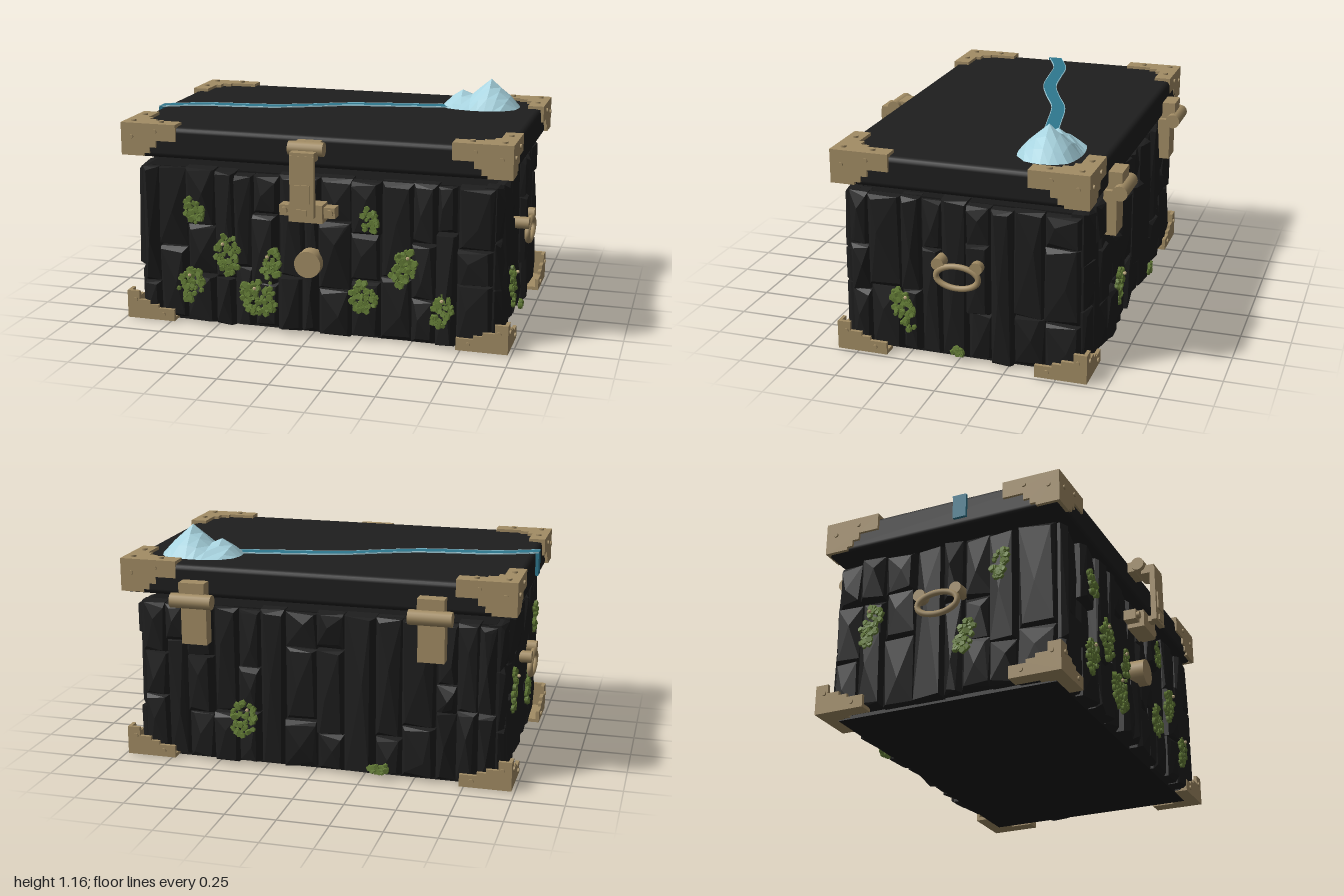
import * as THREE from 'three';
import { mergeGeometries } from 'three/addons/utils/BufferGeometryUtils.js';
import { RoundedBoxGeometry } from 'three/addons/geometries/RoundedBoxGeometry.js';
import { ConvexGeometry } from 'three/addons/geometries/ConvexGeometry.js';

const material = (name, color) => Object.assign(new THREE.MeshStandardMaterial({ color }), { name });
const V = (x, y, z) => new THREE.Vector3(x, y, z);

export function createModel() {
  const root = new THREE.Group();
  root.name = 'chest';
  const stone = material('black stone', 0x1e1e1e);
  const core = material('dark core', 0x191919);
  const brass = material('brass', 0xa38d65);
  const moss = material('moss green', 0x657e37);
  const petal = material('pale petals', 0xc2ae84);
  const water = material('river blue', 0x2f788f);
  const ice = material('ice blue', 0xa8d4e0);
  water.side = ice.side = THREE.DoubleSide;

  let seed = 11;
  const rnd = (a = 0, b = 1) => {
    seed = (seed * 16807) % 2147483647;
    return a + (b - a) * seed / 2147483647;
  };
  const add = (name, geo, mat, parent = root) => {
    const m = new THREE.Mesh(geo, mat);
    m.name = name;
    parent.add(m);
    return m;
  };
  // box given by its limits
  const box = (x0, x1, y0, y1, z0, z1) =>
    new THREE.BoxGeometry(x1 - x0, y1 - y0, z1 - z0).translate((x0 + x1) / 2, (y0 + y1) / 2, (z0 + z1) / 2);
  const rodX = (r, len, x, y, z, n = 16) =>
    new THREE.CylinderGeometry(r, r, len, n).rotateZ(Math.PI / 2).translate(x, y, z);
  const discZ = (r, len, x, y, z, n = 24) =>
    new THREE.CylinderGeometry(r, r, len, n).rotateX(Math.PI / 2).translate(x, y, z);

  const ZC = -0.025; // centre of the box in z
  add('bodyCore', box(-0.88, 0.88, 0.004, 0.808, ZC - 0.56, ZC + 0.56), core);

  // walls: u runs along the wall, out is its distance from the centre
  const walls = [
    { angle: 0, half: 0.895, out: 0.632, spread: 0.018 },
    { angle: Math.PI / 2, half: 0.575, out: 0.945, spread: 0.012 },
    { angle: Math.PI, half: 0.895, out: 0.622, spread: 0.012 },
    { angle: -Math.PI / 2, half: 0.575, out: 0.945, spread: 0.012 },
  ];
  const place = (geo, w) => geo.rotateY(w.angle).translate(0, 0, ZC);

  // rough stone slabs, in columns broken at uneven heights
  const slab = (u0, u1, y0, y1, w, edge) => {
    const back = w.out - 0.1, top = w.out + (edge ? -0.012 : rnd(-w.spread * 2, w.spread));
    const pts = [];
    const tilt = rnd(-0.02, 0.02);
    for (const [u, su] of [[u0, 1], [u1, -1]]) for (const [y, sy] of [[y0, 1], [y1, -1]]) {
      pts.push(V(u, y, back), V(u + su * 0.002, y + sy * rnd(0, 0.006), top - 0.03));
      pts.push(V(u + su * rnd(0.004, 0.028), y + sy * rnd(0.002, 0.03), top - Math.max(0, su * tilt) - rnd(0, 0.01)));
    }
    pts.push(V(u0 + (u1 - u0) * rnd(0.3, 0.7), y0 + (y1 - y0) * rnd(0.3, 0.7), top + 0.006));
    return place(new ConvexGeometry(pts), w);
  };
  const slabs = [];
  for (const w of walls) {
    for (let u = -w.half; u < w.half - 0.01;) {
      let next = u + rnd(0.085, 0.165);
      if (w.half - next < 0.08) next = w.half;
      const edge = u === -w.half || next === w.half;
      const cuts = [rnd(0.008, 0.022)];
      if (rnd() < 0.75) cuts.push(rnd(0.2, 0.4));
      if (rnd() < 0.6) cuts.push(rnd(0.48, 0.64));
      cuts.push(rnd(0.8, 0.816));
      for (let i = 1; i < cuts.length; i++) {
        const l = i > 1 ? rnd(-0.008, 0.008) : 0;
        slabs.push(slab(u + l, next + l, cuts[i - 1], cuts[i], w, edge));
      }
      u = next;
    }
  }
  add('stoneWalls', mergeGeometries(slabs), stone);

  // moss clumps: wall, u, y, width, height
  const clumps = [
    [0, -0.61, 0.6, 0.1, 0.14], [0, -0.43, 0.39, 0.14, 0.2], [0, -0.63, 0.22, 0.13, 0.18],
    [0, -0.2, 0.35, 0.09, 0.18], [0, -0.27, 0.18, 0.18, 0.18], [0, 0.3, 0.62, 0.07, 0.14],
    [0, 0.47, 0.4, 0.12, 0.19], [0, 0.27, 0.23, 0.13, 0.16], [0, 0.66, 0.2, 0.1, 0.19],
    [1, -0.295, 0.25, 0.11, 0.22], [1, -0.02, 0.06, 0.05, 0.03],
    [2, -0.36, 0.25, 0.13, 0.18], [2, 0.33, 0.06, 0.1, 0.05],
    [3, -0.37, 0.44, 0.1, 0.22], [3, 0.13, 0.28, 0.1, 0.16], [3, 0.31, 0.63, 0.08, 0.16],
  ];
  const leaves = [], petals = [];
  for (const [i, u, y, cw, ch] of clumps) {
    const w = walls[i], slant = rnd(-0.3, 0.3);
    const count = Math.round(14 + cw * ch * 1700);
    for (let k = 0; k < count; k++) {
      const a = rnd(0, 6.283), r = Math.sqrt(rnd()) * 0.5;
      const dy = Math.sin(a) * r * ch;
      // flat five-sided leaf tufts
      const size = rnd(0.011, 0.021);
      const g = new THREE.CylinderGeometry(size * 0.8, size, 0.014, 5).rotateX(Math.PI / 2).rotateZ(a)
        .rotateX(rnd(-0.25, 0.15)).rotateY(rnd(-0.25, 0.25));
      leaves.push(place(g.translate(u + Math.cos(a) * r * cw + dy * slant, y + dy, w.out + rnd(0, 0.01)), w));
    }
    if (ch > 0.17) petals.push(place(new THREE.IcosahedronGeometry(0.01, 0)
      .translate(u + rnd(-0.03, 0.03), y + ch * 0.3, w.out + 0.022), w));
  }
  add('moss', mergeGeometries(leaves), moss);
  add('mossFlowers', mergeGeometries(petals), petal);

  // lid
  add('lid', new RoundedBoxGeometry(1.94, 0.159, 1.245, 2, 0.028).translate(0, 0.9375, -0.03), stone);

  // stepped corner brackets: s = 1 rises from the corner, s = -1 hangs from it
  const T = 0.018;
  const plate = (pts, su, sv) => new THREE.ExtrudeGeometry(
    new THREE.Shape(pts.map(([u, v]) => new THREE.Vector2(su * u, sv * v))), { depth: T, bevelEnabled: false });
  const flatPts = [[0, 0], [0.29, 0], [0.29, 0.085], [0.155, 0.085], [0.155, 0.11], [0.11, 0.11],
    [0.11, 0.155], [0.085, 0.155], [0.085, 0.29], [0, 0.29]];
  const lidPts = [[0, 0], [0.29, 0], [0.29, 0.085], [0.185, 0.085], [0.185, 0.12], [0.15, 0.12],
    [0.15, 0.15], [0.12, 0.15], [0.12, 0.165], [0, 0.165]];
  const basePts = [[0, 0], [0.255, 0], [0.255, 0.062], [0.17, 0.062], [0.17, 0.08], [0.125, 0.08],
    [0.125, 0.1], [0.065, 0.1], [0.065, 0.145], [0, 0.145]];
  const bracket = (pts, s, rivets, flatScale) => {
    const flat = flatPts.map(([u, v]) => [u * flatScale, v * flatScale]);
    const parts = [
      plate(pts, -1, s).translate(0, 0, -T),
      plate(pts, 1, s).rotateY(Math.PI / 2).translate(-T, 0, 0),
      plate(flat, -1, 1).rotateX(-Math.PI / 2).translate(0, s < 0 ? -T : 0, 0),
    ];
    for (const [u, v] of rivets) {
      parts.push(discZ(0.012, 0.012, -u, s * v, 0.002, 10).toNonIndexed());
      parts.push(rodX(0.012, 0.012, 0.002, s * v, -u, 10).toNonIndexed());
    }
    if (s < 0) for (const [u, v] of [[0.05, 0.05], [0.2, 0.045], [0.045, 0.2]])
      parts.push(new THREE.CylinderGeometry(0.014, 0.014, 0.014, 10).translate(-u, 0.002, -v).toNonIndexed());
    return mergeGeometries(parts);
  };
  const lidBracket = bracket(lidPts, -1, [[0.055, 0.07], [0.18, 0.04]], 1);
  const baseBracket = bracket(basePts, 1, [[0.045, 0.1], [0.195, 0.033]], 0.88);
  [[1, 1, 0], [1, -1, 1], [-1, -1, 2], [-1, 1, -1]].forEach(([sx, sz, q]) => {
    for (const [name, geo, y] of [['lidCorner', lidBracket, 1.032], ['baseCorner', baseBracket, 0.008]]) {
      const m = add(name, geo, brass);
      m.position.set(sx * 0.984, y, ZC + sz * 0.628);
      m.rotation.y = q * Math.PI / 2;
    }
  });

  // front clasp and medallion
  const clasp = new THREE.Group();
  clasp.name = 'clasp';
  root.add(clasp);
  add('claspMount', box(-0.06, 0.06, 0.945, 1.0, 0.58, 0.655), brass, clasp);
  add('claspBarrel', rodX(0.035, 0.175, 0, 0.97, 0.655), brass, clasp);
  add('claspArm', box(-0.06, 0.06, 0.92, 0.965, 0.665, 0.735), brass, clasp);
  add('claspPlate', box(-0.06, 0.06, 0.65, 0.95, 0.71, 0.738), brass, clasp);
  add('claspPanel', box(-0.04, 0.04, 0.72, 0.81, 0.736, 0.745), brass, clasp);
  add('claspBase', box(-0.14, 0.14, 0.632, 0.685, 0.59, 0.655), brass, clasp);
  add('claspCatch', box(-0.085, 0.085, 0.61, 0.70, 0.59, 0.68), brass, clasp);
  add('claspStaple', box(-0.025, 0.025, 0.66, 0.69, 0.67, 0.745), brass, clasp);
  for (const x of [-0.115, 0.115]) add('claspRivet', discZ(0.018, 0.02, x, 0.658, 0.66, 12), brass, clasp);
  add('medallion', discZ(0.067, 0.08, 0, 0.39, 0.617, 28), brass);

  // rear hinges
  for (const x of [-0.59, 0.59]) {
    add('hingeBarrel', rodX(0.037, 0.21, x, 0.855, -0.717), brass);
    add('hingeUpperPlate', box(x - 0.065, x + 0.065, 0.86, 0.945, -0.72, -0.64), brass);
    add('hingeLowerPlate', box(x - 0.065, x + 0.065, 0.63, 0.85, -0.695, -0.63), brass);
  }

  // side ring handles
  const ringPath = x => new THREE.CatmullRomCurve3(Array.from({ length: 16 }, (_, i) => {
    const a = i / 16 * Math.PI * 2;
    return V(x, 0.463 + 0.055 * Math.sin(a), -0.02 + 0.105 * Math.cos(a));
  }), true);
  for (const s of [-1, 1]) {
    add('handleRing', new THREE.TubeGeometry(ringPath(s * 0.984), 40, 0.015, 8, true), brass);
    for (const z of [0.075, -0.115]) add('handleLug', rodX(0.031, 0.08, s * 0.952, 0.52, z), brass);
  }

  // river: a thin ribbon between two z offsets along a curve
  const course = new THREE.CatmullRomCurve3([[-0.985, 0.085], [-0.78, 0], [-0.6, -0.025], [-0.4, -0.055],
    [-0.22, -0.125], [-0.03, -0.21], [0.22, -0.262], [0.52, -0.315]].map(([x, z]) => V(x, 0, z)));
  const ribbon = (a, b, y, h) => {
    const p = course.getPoints(40);
    const line = d => p.map(q => new THREE.Vector2(q.x, -q.z - d));
    return new THREE.ExtrudeGeometry(new THREE.Shape([...line(a), ...line(b).reverse()]),
      { depth: h, bevelEnabled: false }).rotateX(-Math.PI / 2).translate(0, y, 0);
  };
  add('river', ribbon(-0.034, 0.034, 1.016, 0.006), water);
  add('riverEdge', ribbon(-0.037, -0.034, 1.016, 0.008), ice);
  add('riverEdge', ribbon(0.034, 0.037, 1.016, 0.008), ice);
  add('waterfall', box(-0.986, -0.968, 0.9, 1.022, 0.05, 0.12), water);

  // ice mountain: a rounded grid raised to two peaks
  const peaks = [[0.7, -0.38, 0.15, 0.17], [0.55, -0.38, 0.085, 0.13], [0.65, -0.43, 0.075, 0.12], [0.65, -0.33, 0.06, 0.1]];
  const hill = new THREE.PlaneGeometry(2, 2, 8, 6).rotateX(-Math.PI / 2);
  const pos = hill.attributes.position;
  for (let i = 0; i < pos.count; i++) {
    const a = pos.getX(i), b = pos.getZ(i);
    const x = 0.65 + 0.205 * a * Math.sqrt(1 - b * b / 2.6), z = -0.38 + 0.155 * b * Math.sqrt(1 - a * a / 2.6);
    const rim = Math.max(Math.abs(a), Math.abs(b)) > 0.99;
    const h = rim ? 0 : Math.max(0.018, ...peaks.map(([px, pz, ph, r]) => ph * (1 - Math.hypot(x - px, z - pz) / r)));
    pos.setXYZ(i, x, 1.016 + h, z);
  }
  const facets = hill.toNonIndexed();
  facets.computeVertexNormals();
  add('iceMountain', facets, ice);

  return root;
}
